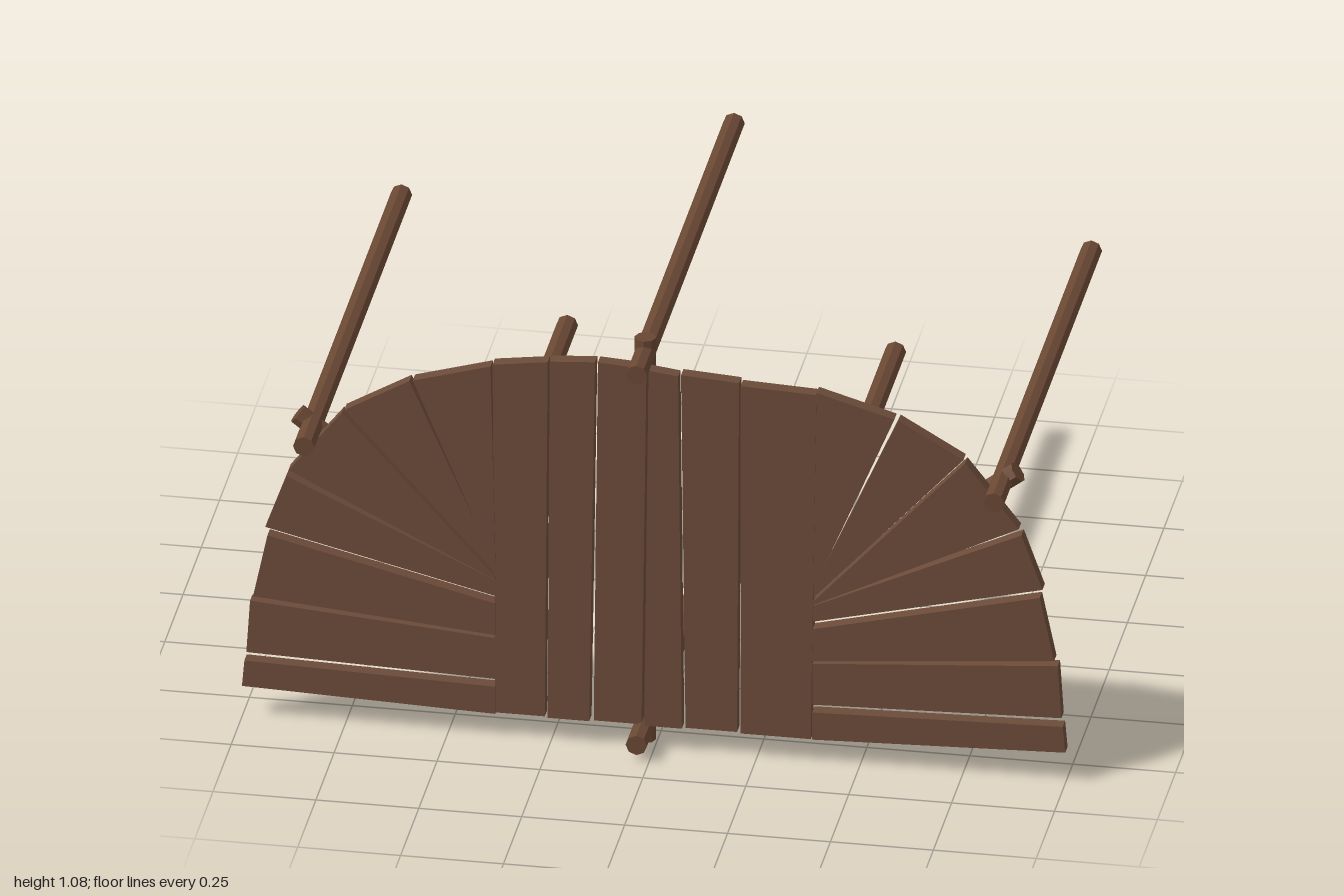
import * as THREE from 'three';

export function createModel() {
  const model = new THREE.Group();
  const plankWood = new THREE.MeshStandardMaterial({ color: 0x6b4b39, flatShading: true });
  plankWood.name = 'plank wood';
  const poleWood = new THREE.MeshStandardMaterial({ color: 0x694733, flatShading: true });
  poleWood.name = 'pole wood';

  // A flat board cut to the given outline
  function plank(name, corners, back) {
    const shape = new THREE.Shape(corners.map(([x, y]) => new THREE.Vector2(x, y)));
    const geometry = new THREE.ExtrudeGeometry(shape, { depth: 0.033, bevelEnabled: false });
    const mesh = new THREE.Mesh(geometry, plankWood);
    mesh.name = name;
    mesh.position.z = back;
    model.add(mesh);
  }

  // An eight-sided pole between two points
  function pole(name, from, to) {
    const a = new THREE.Vector3(...from);
    const b = new THREE.Vector3(...to);
    const dir = b.clone().sub(a);
    const mesh = new THREE.Mesh(new THREE.CylinderGeometry(0.026, 0.026, dir.length(), 8), poleWood);
    mesh.name = name;
    mesh.position.copy(a).add(b).multiplyScalar(0.5);
    mesh.quaternion.setFromUnitVectors(new THREE.Vector3(0, 1, 0), dir.normalize());
    model.add(mesh);
  }

  // Upright boards: bottom left x, bottom right x, top right x, top right y, top left x, top left y
  const uprights = [
    [-0.385, -0.265, -0.258, 1.019, -0.392, 1.0],
    [-0.257, -0.156, -0.142, 1.032, -0.252, 1.024],
    [-0.146, -0.03, -0.018, 1.022, -0.136, 1.029],
    [-0.022, 0.069, 0.06, 1.012, -0.012, 1.021],
    [0.077, 0.202, 0.207, 1.004, 0.066, 1.013],
    [0.211, 0.382, 0.396, 0.992, 0.212, 1.0],
  ];
  uprights.forEach(([bl, br, tr, trY, tl, tlY], i) =>
    plank('uprightPlank' + (i + 1), [[bl, 0.065], [br, 0.065], [tr, trY], [tl, tlY]], i % 2 ? 0.572 : 0.566));

  // Fanned boards of one side: outer lower, outer upper, inner upper, inner lower corner
  const fan = [
    [[1.0, 0.083], [0.994, 0.152], [0.385, 0.136], [0.385, 0.063]],
    [[0.99, 0.173], [0.981, 0.312], [0.385, 0.265], [0.385, 0.155]],
    [[0.973, 0.327], [0.938, 0.494], [0.385, 0.36], [0.385, 0.275]],
    [[0.944, 0.514], [0.893, 0.656], [0.385, 0.42], [0.385, 0.378]],
    [[0.887, 0.674], [0.757, 0.84], [0.385, 0.432], [0.385, 0.424]],
    [[0.752, 0.846], [0.594, 0.938], [0.385, 0.462], [0.385, 0.44]],
    [[0.585, 0.942], [0.396, 0.997], [0.385, 0.48], [0.387, 0.465]],
  ];
  for (const side of [1, -1]) {
    const label = side > 0 ? 'left' : 'right';
    fan.forEach((corners, i) =>
      plank(label + 'FanPlank' + (i + 1), corners.map(([x, y]) => [side * x, y]), i % 2 ? 0.566 : 0.57));

    // Slanted brace and the two long rails it holds
    pole(label + 'Brace', [side * 0.406, 0.443, 0.545], [side * 0.875, 0.798, 0.545]);
    pole(label + 'OuterRail', [side * 0.838, 0.775, -0.67], [side * 0.838, 0.775, 0.67]);
    const inner = side > 0 ? 0.362 : -0.435;
    pole(label + 'InnerRail', [inner, 0.46, -0.67], [inner, 0.46, 0.53]);
  }

  // Centre post with the top and bottom rails
  pole('centrePost', [-0.03, 0, 0.545], [-0.03, 1.08, 0.545]);
  pole('topRail', [-0.03, 1.04, -0.67], [-0.03, 1.04, 0.67]);
  pole('bottomRail', [-0.03, 0.044, -0.67], [-0.03, 0.044, 0.67]);

  return model;
}
